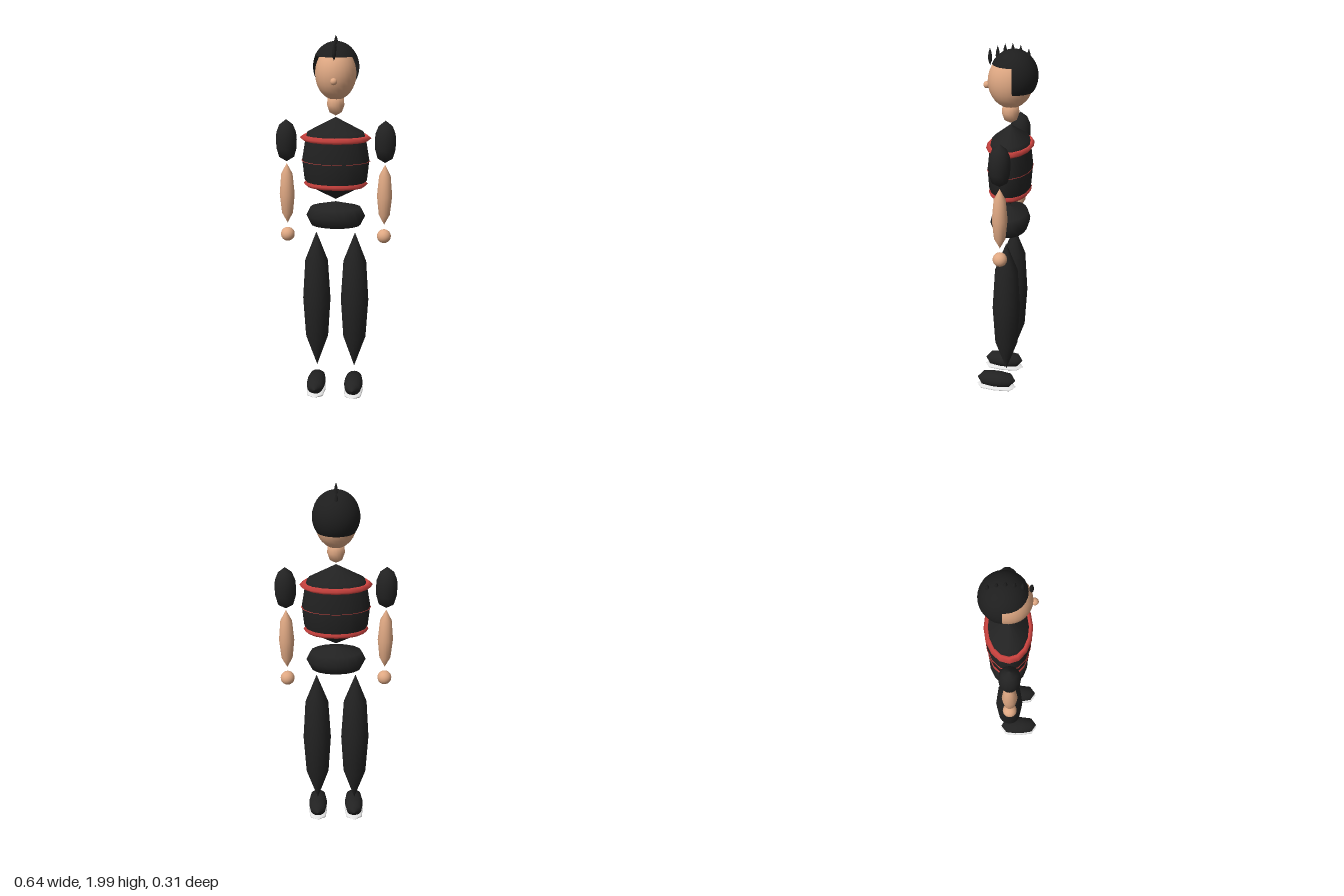
import * as THREE from 'three';

const mat = (name, color, side = THREE.FrontSide) => {
  const m = new THREE.MeshStandardMaterial({ color, side });
  m.name = name;
  return m;
};

export function createModel() {
  const black = mat('black cloth', 0x222222);
  const hairBlack = mat('black hair', 0x1e1e1e, THREE.DoubleSide);
  const red = mat('red trim', 0xd04440);
  const skin = mat('skin', 0xdfa883);
  const white = mat('white sole', 0xe6e6e6);

  const model = new THREE.Group();
  model.name = 'figure';
  const Z = -0.017; // depth of the body axis

  const add = (name, geo, material, x = 0, y = 0, z = Z) => {
    const mesh = new THREE.Mesh(geo, material);
    mesh.name = name;
    mesh.position.set(x, y, z);
    model.add(mesh);
    return mesh;
  };

  // Turned body section; profile runs bottom to top as [radius, height]
  const turned = (profile, depth = 1, sides = 16) =>
    new THREE.LatheGeometry(profile.map(([r, y]) => new THREE.Vector2(r, y)), sides).scale(1, 1, depth);
  const ball = (rx, ry, rz) => new THREE.SphereGeometry(1, 24, 16).scale(rx, ry, rz);

  // Torso and pelvis
  add('torso', turned([[0, 1.128], [0.138, 1.2], [0.168, 1.235], [0.18, 1.345], [0.163, 1.45], [0.15, 1.497], [0, 1.576]], 0.65), black);
  add('pelvis', turned([[0, 0.956], [0.135, 0.985], [0.16, 1.036], [0.137, 1.083], [0, 1.115]], 0.66), black);

  // Trim bands around the torso: outer radius, height, half thickness
  for (const [name, r, y, h] of [['chestBand', 0.191, 1.465, 0.016], ['middleBand', 0.185, 1.34, 0.006], ['waistBand', 0.173, 1.216, 0.017]]) {
    const inner = r * 0.76, mid = r * 0.89;
    add(name, turned([[inner, y], [mid, y - h], [r, y], [mid, y + h], [inner, y]], 0.645), red);
  }

  // Arms, legs and shoes, mirrored
  for (const [side, s] of [['left', 1], ['right', -1]]) {
    const ax = s * 0.264, lx = s * 0.106;
    add(side + 'UpperArm', turned([[0, 1.332], [0.041, 1.358], [0.054, 1.405], [0.056, 1.45], [0.053, 1.49], [0.037, 1.53], [0, 1.56]]), black, ax);
    add(side + 'Forearm', turned([[0, 0.988], [0.03, 1.045], [0.041, 1.15], [0.031, 1.262], [0, 1.322]]), skin, ax);
    add(side + 'Hand', ball(0.038, 0.038, 0.038), skin, ax, 0.923);
    add(side + 'Leg', turned([[0, 0.142], [0.063, 0.325], [0.077, 0.55], [0.063, 0.775], [0, 0.94]]), black, lx);

    // Shoe sections run from heel to toe
    const shoe = turned([[0, -0.111], [0.043, -0.08], [0.052, -0.02], [0.052, 0.02], [0.043, 0.08], [0, 0.111]]);
    add(side + 'Shoe', shoe.rotateX(Math.PI / 2).scale(1, 0.83, 1), black, lx, 0.062, 0.042);
    const sole = turned([[0, -0.114], [0.045, -0.082], [0.054, 0], [0.045, 0.082], [0, 0.114]]);
    add(side + 'Sole', sole.rotateX(Math.PI / 2).scale(1, 0.24, 1), white, lx, 0.018, 0.042);
  }

  // Neck and head
  add('neck', turned([[0, 1.583], [0.033, 1.602], [0.046, 1.64], [0.042, 1.68], [0, 1.71]]), skin);
  add('head', ball(0.108, 0.138, 0.117), skin, 0, 1.804);
  add('nose', ball(0.018, 0.018, 0.018), skin, 0, 1.778, 0.107);

  // Hair: a cap on top and a shell behind
  const cap = new THREE.SphereGeometry(1, 24, 8, 0, Math.PI * 2, 0, 1.1);
  add('hairCap', cap.scale(0.122, 0.133, 0.124), hairBlack, 0, 1.835, -0.034);
  const shell = new THREE.SphereGeometry(1, 18, 8, Math.PI + 0.1, Math.PI - 0.2, 1.08, 1.12);
  add('hairBack', shell.scale(0.122, 0.133, 0.124), hairBlack, 0, 1.835, -0.034);

  // Row of hair spikes from front to back
  for (const [z, top] of [[0.089, 1.97], [0.049, 1.982], [0.011, 1.995], [-0.028, 2.0], [-0.068, 1.992], [-0.109, 1.975]]) {
    add('hairSpike', turned([[0, -0.09], [0.009, -0.067], [0.011, -0.05], [0.008, -0.026], [0, 0]], 1, 10), hairBlack, 0, top, z);
  }

  return model;
}
